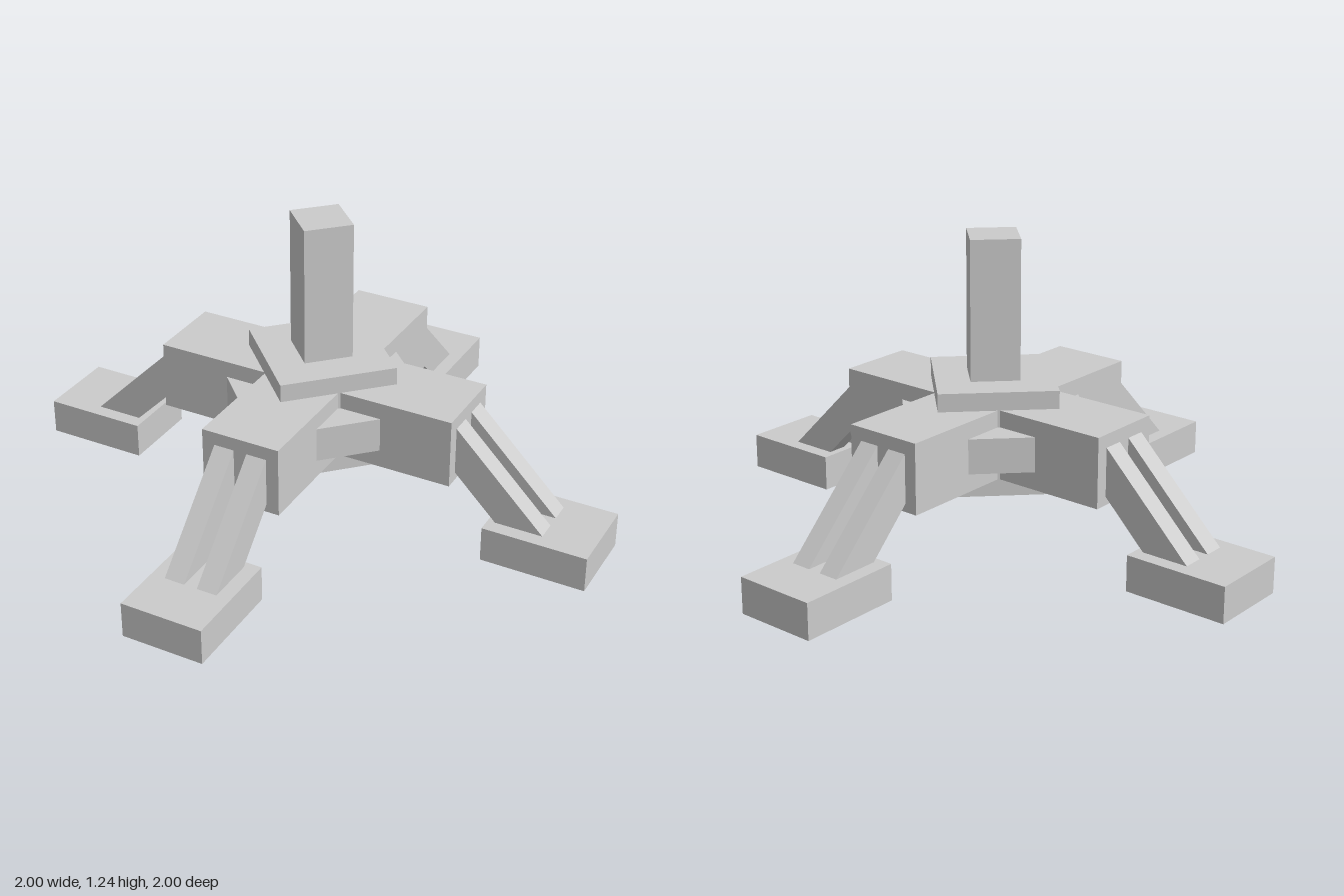
import * as THREE from 'three';

const material = new THREE.MeshStandardMaterial({ color: 0xcccccc, flatShading: true });

// Box given by its size, its bottom height and its offset along x
function box(name, w, h, d, bottom, x = 0) {
  const mesh = new THREE.Mesh(new THREE.BoxGeometry(w, h, d), material);
  mesh.name = name;
  mesh.position.set(x, bottom + h / 2, 0);
  return mesh;
}

// Sloping strut: a 45 degree bar running from inside the arm into the foot
function strut(name, z) {
  const width = 0.085;
  const shape = new THREE.Shape([
    new THREE.Vector2(0.62, 0.364),
    new THREE.Vector2(0.884, 0.1),
    new THREE.Vector2(1.084, 0.1),
    new THREE.Vector2(0.62, 0.564),
  ]);
  const geometry = new THREE.ExtrudeGeometry(shape, { depth: width, bevelEnabled: false });
  geometry.translate(0, 0, z - width / 2);
  const mesh = new THREE.Mesh(geometry, material);
  mesh.name = name;
  return mesh;
}

// One leg, built along +x
function createLeg(name) {
  const leg = new THREE.Group();
  leg.name = name;
  leg.add(
    box('arm', 0.654, 0.29, 0.332, 0.295, 0.327),
    box('foot', 0.438, 0.15, 0.346, 0, 1.022),
    strut('strutA', 0.0705),
    strut('strutB', -0.0705),
  );
  return leg;
}

export function createModel() {
  const model = new THREE.Group();
  model.name = 'fourLeggedStand';

  // Central body
  model.add(
    box('core', 0.48, 0.435, 0.48, 0.225),
    box('bracePlate', 0.73, 0.145, 0.73, 0.37),
    box('post', 0.2, 0.58, 0.2, 0.66),
  );

  // Four legs on the diagonals
  ['backLeftLeg', 'backRightLeg', 'frontRightLeg', 'frontLeftLeg'].forEach((name, i) => {
    const leg = createLeg(name);
    leg.rotation.y = Math.PI / 4 + (i * Math.PI) / 2;
    model.add(leg);
  });

  return model;
}
